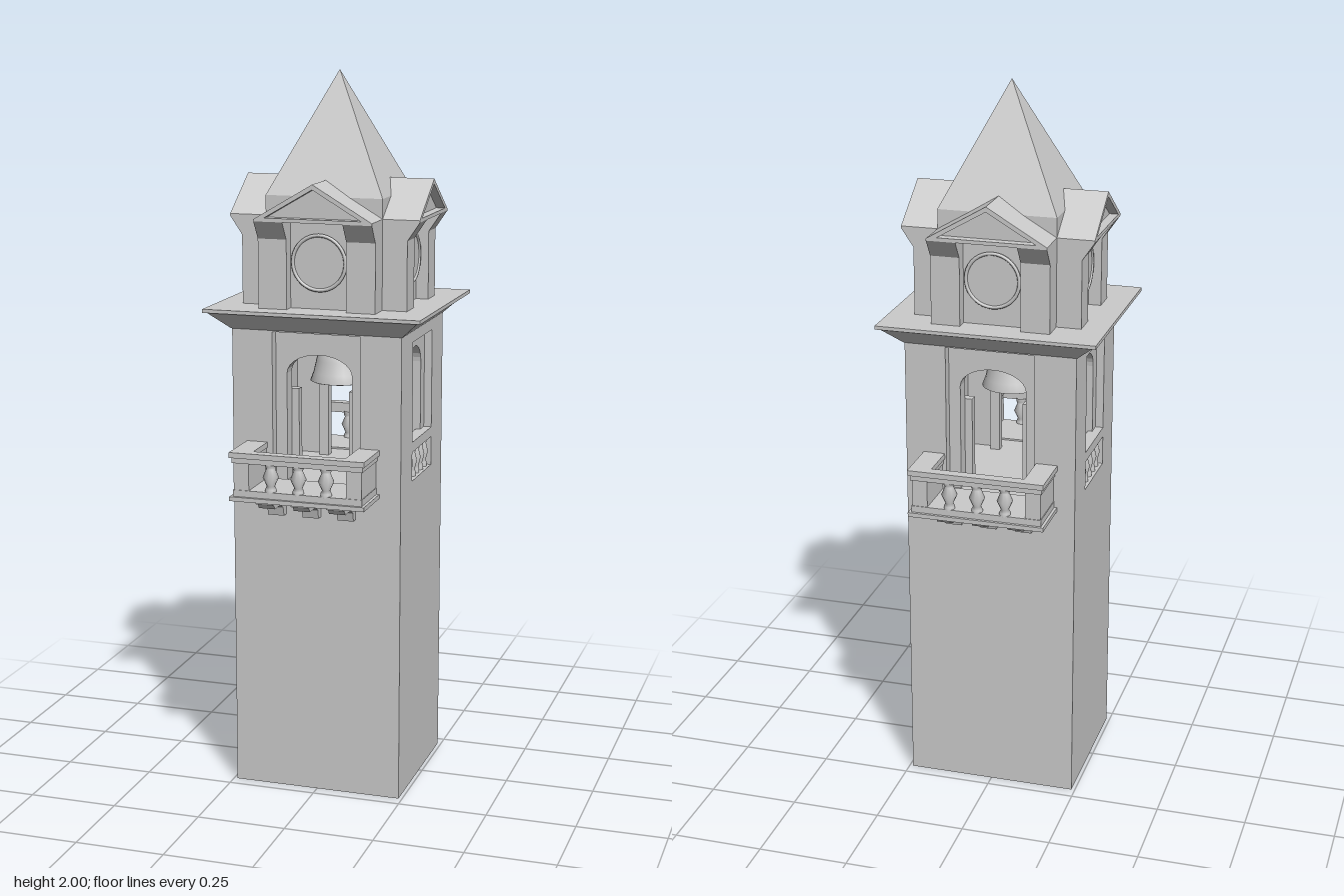
import * as THREE from 'three';

const mat = new THREE.MeshStandardMaterial({ color: 0xcccccc, flatShading: true });
const smooth = new THREE.MeshStandardMaterial({ color: 0xcccccc, side: THREE.DoubleSide });

function add(parent, name, geo, x = 0, y = 0, z = 0, m = mat) {
  const mesh = new THREE.Mesh(geo, m);
  mesh.name = name;
  mesh.position.set(x, y, z);
  parent.add(mesh);
  return mesh;
}

// Box given by its limits
function box(parent, name, x0, x1, y0, y1, z0, z1) {
  return add(parent, name, new THREE.BoxGeometry(x1 - x0, y1 - y0, z1 - z0),
    (x0 + x1) / 2, (y0 + y1) / 2, (z0 + z1) / 2);
}

// Box whose top and bottom have different half sizes
function taper(parent, name, bx, bz, tx, tz, y0, y1) {
  const g = new THREE.BoxGeometry(2, y1 - y0, 2);
  const p = g.attributes.position;
  for (let i = 0; i < p.count; i++) {
    const top = p.getY(i) > 0;
    p.setX(i, p.getX(i) * (top ? tx : bx));
    p.setZ(i, p.getZ(i) * (top ? tz : bz));
  }
  g.computeVertexNormals();
  return add(parent, name, g, 0, (y0 + y1) / 2, 0);
}

function extrude(points, depth, hole) {
  const v = a => a.map(([x, y]) => new THREE.Vector2(x, y));
  const s = new THREE.Shape(v(points));
  if (hole) s.holes.push(new THREE.Path(v(hole)));
  return new THREE.ExtrudeGeometry(s, { depth, bevelEnabled: false });
}

// Wall layer with an opening that stands on its lower edge; foot widens the lowest part
function wall(parent, name, half, open, spring, rise, z, depth, foot = 0) {
  const y0 = 0.89, y1 = 1.315, pts = [[-half, y0]];
  if (foot) pts.push([-foot, y0], [-foot, 0.97], [-open, 0.97]);
  else pts.push([-open, y0]);
  const n = rise ? 14 : 1;
  for (let i = 0; i <= n; i++) {
    const a = Math.PI * (1 - i / n);
    pts.push([open * Math.cos(a), spring + rise * Math.sin(a)]);
  }
  if (foot) pts.push([open, 0.97], [foot, 0.97], [foot, y0]);
  else pts.push([open, y0]);
  pts.push([half, y0], [half, y1], [-half, y1]);
  add(parent, name, extrude(pts, depth), 0, 0, z);
}

const balusterGeo = r => new THREE.LatheGeometry(
  [[0.7, 0], [0.7, 0.012], [0.5, 0.02], [1, 0.045], [0.55, 0.068], [0.7, 0.074], [0.7, 0.085]]
    .map(([x, y]) => new THREE.Vector2(x * r, y)), 10);

// Balcony facing +z
function balcony(shift) {
  const g = new THREE.Group();
  g.name = 'balcony';
  box(g, 'balconyFloor', -0.19, 0.19, 0.865, 0.877, 0.2, 0.36);
  box(g, 'balconyFloorStep', -0.182, 0.182, 0.877, 0.895, 0.2, 0.352);
  for (const s of [-1, 1]) {
    const e = (a, b) => [Math.min(s * a, s * b), Math.max(s * a, s * b)];
    box(g, 'sideParapet', ...e(0.137, 0.18), 0.89, 0.975, 0.2, 0.35);
    box(g, 'sideRail', ...e(0.13, 0.19), 0.985, 1.0, 0.2, 0.36);
    box(g, 'sideRailMoulding', ...e(0.134, 0.184), 0.97, 0.985, 0.2, 0.354);
  }
  box(g, 'frontRail', -0.131, 0.131, 0.985, 1.0, 0.33, 0.36);
  box(g, 'frontRailMoulding', -0.135, 0.135, 0.97, 0.985, 0.333, 0.354);
  for (const x of [-0.078, 0, 0.078]) add(g, 'baluster', balusterGeo(0.022), x, 0.89, 0.338, smooth);
  // Stepped brackets
  const profile = [[0.2, 0.8], [0.235, 0.8], [0.242, 0.826], [0.262, 0.838], [0.31, 0.838],
    [0.318, 0.85], [0.335, 0.855], [0.335, 0.866], [0.2, 0.866]];
  for (const x of [-0.1, 0, 0.1]) {
    const b = add(g, 'bracket', extrude(profile, 0.046), x + 0.023, 0, 0);
    b.rotation.y = -Math.PI / 2;
  }
  g.position.x = shift;
  return g;
}

// Clock bay facing +z: w half width, d wall distance, roof overhangs to d + 0.034
function clockBay(w, d) {
  const g = new THREE.Group();
  g.name = 'clockBay';
  const inner = w * 0.51, D = d + 0.034;
  box(g, 'clockWall', -w + 0.004, w - 0.004, 1.365, 1.61, 0, d - 0.035);
  const profile = [[0, 1.365], [d, 1.365], [d, 1.56], [D, 1.61], [0, 1.61]];
  for (const x of [w, -inner]) {
    const p = add(g, 'pilaster', extrude(profile, w - inner), x, 0, 0);
    p.rotation.y = -Math.PI / 2;
  }
  const dial = add(g, 'clockFace', new THREE.CylinderGeometry(w * 0.46, w * 0.46, 0.012, 36), 0, 1.497, d - 0.03);
  dial.rotation.x = Math.PI / 2;
  add(g, 'clockRim', new THREE.TorusGeometry(w * 0.45, 0.005, 6, 36), 0, 1.497, d - 0.024, smooth);
  // Gable with a sunk triangle
  const tri = [[-w, 1.61], [w, 1.61], [w, 1.616], [0, 1.713], [-w, 1.616]];
  const sunk = [[-w * 0.82, 1.62], [0, 1.699], [w * 0.82, 1.62]];
  add(g, 'gableRoof', extrude(tri, D - 0.025));
  add(g, 'pedimentFrame', extrude(tri, 0.025, sunk), 0, 0, D - 0.025);
  return g;
}

export function createModel() {
  const tower = new THREE.Group();
  tower.name = 'clockTower';

  box(tower, 'shaft', -0.24, 0.24, 0, 0.89, -0.215, 0.215);

  // Belfry walls, balconies and side balustrades
  for (let i = 0; i < 2; i++) {
    const face = new THREE.Group();
    face.name = 'balconySide';
    wall(face, 'outerWall', 0.24, 0.125, 1.308, 0, 0.185, 0.03);
    wall(face, 'archedWall', 0.24, 0.093, 1.19, 0.055, 0.145, 0.04);
    for (const s of [-1, 1])
      box(face, 'doorJamb', s * 0.086 - 0.014, s * 0.086 + 0.014, 0.89, 1.14, 0.12, 0.145);
    face.add(balcony(i ? 0 : -0.01));
    face.rotation.y = i * Math.PI;
    tower.add(face);

    const side = new THREE.Group();
    side.name = 'windowSide';
    wall(side, 'outerWall', 0.186, 0.1, 1.28, 0, 0.218, 0.022);
    wall(side, 'archedWall', 0.186, 0.062, 1.195, 0.055, 0.175, 0.043, 0.099);
    box(side, 'windowRail', -0.1, 0.1, 0.972, 1.0, 0.205, 0.24);
    for (let k = -2; k <= 2; k++)
      add(side, 'windowBaluster', balusterGeo(0.013), k * 0.039, 0.89, 0.224, smooth);
    side.rotation.y = Math.PI / 2 + i * Math.PI;
    tower.add(side);
  }

  // Bell
  const bell = [[0.078, 1.14], [0.083, 1.142], [0.074, 1.165], [0.066, 1.2], [0.058, 1.23], [0.045, 1.243], [0, 1.247]]
    .map(([x, y]) => new THREE.Vector2(x, y));
  add(tower, 'bell', new THREE.LatheGeometry(bell, 28), 0, 0, 0, smooth);
  add(tower, 'bellHanger', new THREE.CylinderGeometry(0.012, 0.012, 0.08, 10), 0, 1.28, 0);

  // Flared cornice
  taper(tower, 'cornice', 0.242, 0.217, 0.298, 0.265, 1.312, 1.362);
  box(tower, 'corniceEdge', -0.305, 0.305, 1.36, 1.37, -0.271, 0.271);

  // Clock stage
  box(tower, 'clockCore', -0.165, 0.165, 1.365, 1.67, -0.145, 0.145);
  for (let i = 0; i < 4; i++) {
    const bay = i % 2 ? clockBay(0.145, 0.234) : clockBay(0.165, 0.211);
    bay.rotation.y = i * Math.PI / 2;
    tower.add(bay);
  }

  // Spire
  taper(tower, 'spire', 0.165, 0.145, 0.0005, 0.0005, 1.67, 2);
  return tower;
}
